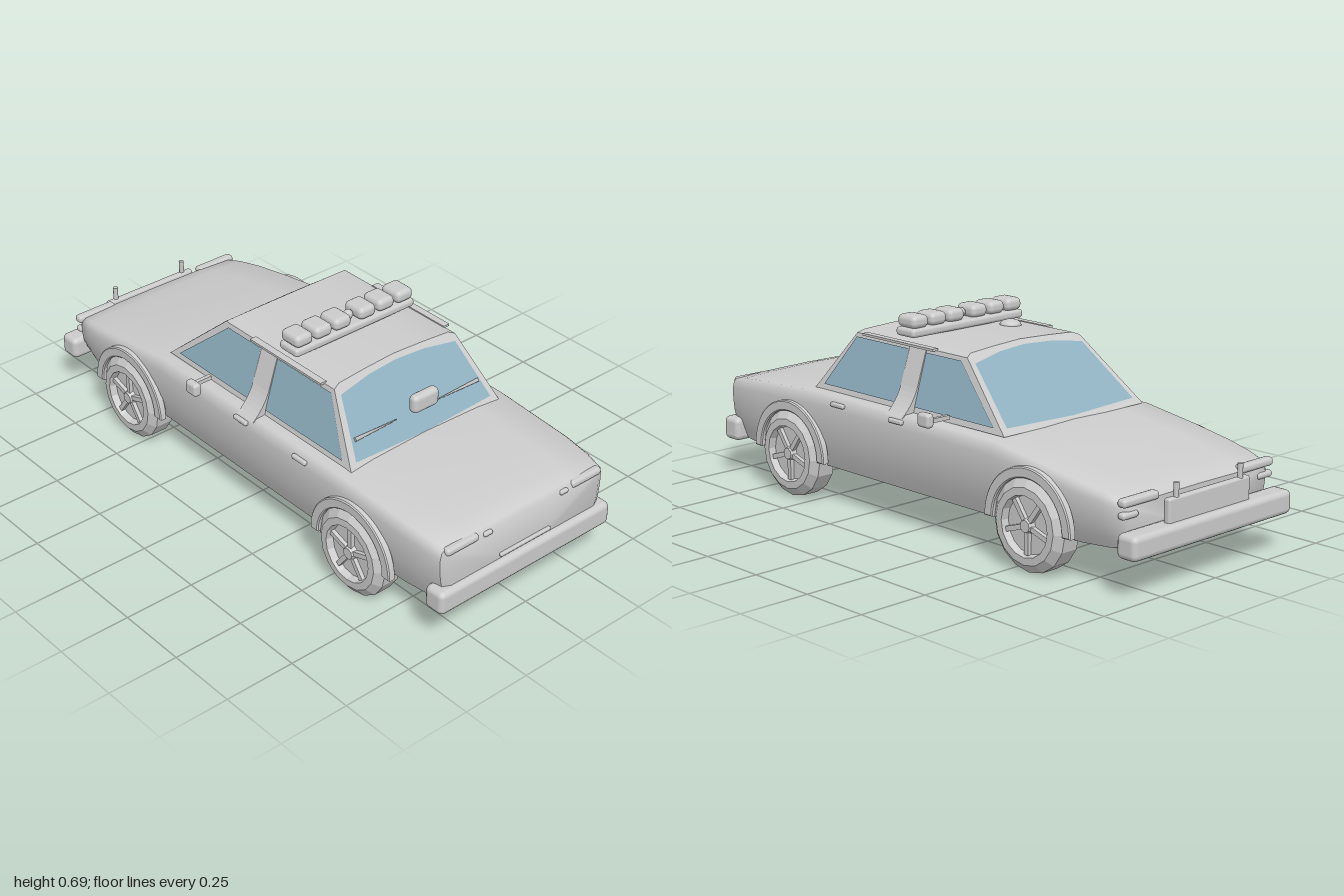
import * as THREE from 'three';
import { toCreasedNormals } from 'three/addons/utils/BufferGeometryUtils.js';
import { RoundedBoxGeometry } from 'three/addons/geometries/RoundedBoxGeometry.js';
import { ConvexGeometry } from 'three/addons/geometries/ConvexGeometry.js';

const paint = new THREE.MeshStandardMaterial({ color: 0xcccccc });
const facet = new THREE.MeshStandardMaterial({ color: 0xcccccc, flatShading: true });
const glass = new THREE.MeshStandardMaterial({ color: 0x8fb0c0, side: THREE.DoubleSide });

// Cabin planes: side, windscreen (-z) and rear window (+z) as functions of height
const sideX = y => 0.322 - (y - 0.39) * 0.302;
const screenZ = y => -0.40 + (y - 0.39) * 1.13;
const rearZ = y => 0.53 - (y - 0.39) * 0.744;

export function createModel() {
  const car = new THREE.Group();
  car.name = 'car';

  function add(name, geometry, x = 0, y = 0, z = 0, material = paint, parent = car) {
    const mesh = new THREE.Mesh(geometry, material);
    mesh.name = name;
    mesh.position.set(x, y, z);
    parent.add(mesh);
    return mesh;
  }
  const rounded = (w, h, d, r) => new RoundedBoxGeometry(w, h, d, 2, r);

  // Loft rings listed from +z to -z, each counterclockwise as seen from +z
  function loft(rings) {
    const n = rings[0].length, index = [];
    for (let i = 0; i < rings.length - 1; i++) {
      for (let j = 0; j < n; j++) {
        const a = i * n + j, b = i * n + (j + 1) % n;
        index.push(a, a + n, b, b, a + n, b + n);
      }
    }
    const last = (rings.length - 1) * n;
    for (let j = 1; j < n - 1; j++) index.push(0, j, j + 1, last, last + j + 1, last + j);
    const g = new THREE.BufferGeometry();
    g.setAttribute('position', new THREE.Float32BufferAttribute(rings.flat(2), 3));
    g.setIndex(index);
    return toCreasedNormals(g, 0.75);
  }

  // Body shell: z, half width, floor height, top height
  const stations = [
    [0.978, 0.325, 0.165, 0.342], [0.965, 0.35, 0.148, 0.358], [0.9, 0.362, 0.135, 0.372],
    [0.8, 0.37, 0.13, 0.384], [0.5, 0.376, 0.13, 0.402], [0.05, 0.377, 0.13, 0.402],
    [-0.39, 0.376, 0.13, 0.394], [-0.6, 0.374, 0.13, 0.362], [-0.75, 0.368, 0.13, 0.337],
    [-0.85, 0.355, 0.135, 0.318], [-0.91, 0.34, 0.145, 0.302], [-0.927, 0.32, 0.158, 0.288]
  ];
  const halfSection = [
    [0.9, 0], [0.945, 0.18], [0.985, 0.4], [1, 0.62], [1, 0.8], [0.985, 0.91], [0.95, 0.955], [0.6, 0.985]
  ];
  add('bodyShell', loft(stations.map(([z, w, low, top]) => {
    const right = halfSection.map(([u, v]) => [u * w, low + v * (top - low), z]);
    return [[0, low, z], ...right, [0, top, z], ...right.map(([x, y]) => [-x, y, z]).reverse()];
  })));

  // Cabin with a slightly crowned roof
  const cabinPoints = [];
  for (const [x, y] of [[0.322, 0.39], [sideX(0.597), 0.597], [0.235, 0.607], [0.12, 0.613], [0, 0.617]]) {
    for (const s of [-1, 1]) {
      cabinPoints.push(new THREE.Vector3(s * x, y, screenZ(y)), new THREE.Vector3(s * x, y, rearZ(y)));
    }
  }
  add('cabin', toCreasedNormals(new ConvexGeometry(cabinPoints), 0.4));

  // Window panes lie just outside the cabin planes
  function pane(name, outline, place) {
    const g = new THREE.ShapeGeometry(new THREE.Shape(outline.map(p => new THREE.Vector2(...p))));
    const pos = g.attributes.position;
    for (let i = 0; i < pos.count; i++) pos.setXYZ(i, ...place(pos.getX(i), pos.getY(i)));
    g.computeVertexNormals();
    add(name, g, 0, 0, 0, glass);
  }
  const screenOutline = (bottom, top) => [
    [-bottom, 0.41], [0, 0.403], [bottom, 0.41], [top, 0.58], [0.12, 0.597], [0, 0.603], [-0.12, 0.597], [-top, 0.58]
  ];
  pane('rearWindow', screenOutline(0.292, 0.246), (x, y) => [x, y, rearZ(y) + 0.004]);
  pane('windscreen', screenOutline(0.292, 0.246), (x, y) => [x, y, screenZ(y) - 0.004]);
  for (const s of [-1, 1]) {
    const onSide = (z, y) => [s * (sideX(y) + 0.004), y, z];
    pane('rearSideWindow', [[0.485, 0.41], [0.37, 0.585], [0.107, 0.585], [0.107, 0.41]], onSide);
    pane('frontSideWindow', [[0.022, 0.41], [0.022, 0.585], [-0.145, 0.585], [-0.35, 0.41]], onSide);
  }

  // Flared middle pillar foot, concave from cabin to shoulder
  const flare = new THREE.Shape();
  flare.moveTo(0.25, 0.38);
  flare.lineTo(0.372, 0.38);
  flare.quadraticCurveTo(0.325, 0.42, 0.305, 0.47);
  flare.lineTo(0.263, 0.598);
  flare.lineTo(0.25, 0.598);
  const flareGeometry = new THREE.ExtrudeGeometry(flare, { depth: 0.08, bevelEnabled: false, curveSegments: 6 });

  // Wheel parts, axle along y before turning
  const tyreProfile = [
    [0, -0.055], [0.125, -0.055], [0.153, -0.032], [0.153, 0.032], [0.125, 0.054], [0.1, 0.055], [0.094, 0.03], [0, 0.03]
  ].map(p => new THREE.Vector2(...p));
  const tyreGeometry = new THREE.LatheGeometry(tyreProfile, 16);
  const hubGeometry = new THREE.CylinderGeometry(0.02, 0.027, 0.024, 10);
  const spokeGeometry = new THREE.BoxGeometry(0.078, 0.014, 0.017);

  // Arch lip around each wheel
  const arch = new THREE.Shape();
  arch.absarc(0, 0, 0.183, 0, Math.PI, false);
  arch.absarc(0, 0, 0.155, Math.PI, 0, true);
  const archGeometry = toCreasedNormals(new THREE.ExtrudeGeometry(arch, {
    depth: 0.02, bevelSize: 0.004, bevelThickness: 0.004, bevelSegments: 1, curveSegments: 16
  }), 0.5);

  for (const s of [-1, 1]) {
    for (const z of [0.6, -0.567]) {
      const wheel = new THREE.Group();
      wheel.name = z > 0 ? 'rearWheel' : 'frontWheel';
      wheel.position.set(s * 0.345, 0.153, z);
      wheel.rotation.z = -s * Math.PI / 2;
      car.add(wheel);
      add('tyre', tyreGeometry, 0, 0, 0, facet, wheel);
      add('hub', hubGeometry, 0, 0.04, 0, facet, wheel);
      for (let i = 0; i < 5; i++) {
        const a = i * Math.PI * 0.4;
        const spoke = add('spoke', spokeGeometry, Math.cos(a) * 0.055, 0.038, -Math.sin(a) * 0.055, facet, wheel);
        spoke.rotation.y = a;
      }
      add('wheelArch', archGeometry, s * 0.368, 0.153, z).rotation.y = s * Math.PI / 2;
    }

    // Pillars, roof gutters and door handles
    const pillar = add('middlePillar', flareGeometry, 0, 0, s > 0 ? 0.025 : 0.105);
    if (s < 0) pillar.rotation.y = Math.PI;
    add('roofGutter', new THREE.BoxGeometry(0.025, 0.008, 0.35), s * 0.265, 0.6, 0.155);
    for (const z of [0.345, 0.05]) add('doorHandle', rounded(0.016, 0.016, 0.066, 0.006), s * 0.378, 0.368, z);

    // Wing mirrors
    add('mirrorArm', new THREE.BoxGeometry(0.075, 0.014, 0.014), s * 0.375, 0.415, -0.16);
    add('mirrorHead', rounded(0.031, 0.048, 0.055, 0.012), s * 0.421, 0.416, -0.143);

    // Lamps at the +z end
    add('tailLamp', rounded(0.134, 0.027, 0.03, 0.012), s * 0.268, 0.34, 0.967);
    add('smallLamp', rounded(0.036, 0.016, 0.02, 0.007), s * 0.165, 0.337, 0.975);

    // Lamps and guard posts at the -z end
    add('headLamp', rounded(0.16, 0.028, 0.035, 0.012), s * 0.27, 0.292, -0.92);
    add('indicatorLamp', rounded(0.07, 0.022, 0.03, 0.01), s * 0.315, 0.252, -0.92);
    add('guardPost', new THREE.CylinderGeometry(0.009, 0.009, 0.13, 8), s * 0.15, 0.265, -0.963);

    // Wiper blades, tapering toward the middle
    const wiper = add('wiper', new THREE.CylinderGeometry(0.002, 0.009, 0.175, 4), s * 0.178, 0.465, rearZ(0.465) + 0.008);
    wiper.rotation.z = s * Math.PI / 2;
  }

  // Bumpers, grille guard and plate strip
  add('rearBumper', rounded(0.742, 0.084, 0.08, 0.02), 0, 0.17, 0.96);
  add('frontBumper', rounded(0.742, 0.08, 0.08, 0.02), 0, 0.168, -0.96);
  add('grilleGuard', rounded(0.38, 0.085, 0.026, 0.008), 0, 0.242, -0.96);
  add('plateStrip', rounded(0.218, 0.013, 0.02, 0.005), 0, 0.227, 0.978);

  // Mirror hovering outside the rear window
  add('viewMirror', rounded(0.11, 0.066, 0.038, 0.018), 0, 0.517, 0.51);

  // Roof light bar with six lamps, a knob and a beacon
  add('lightBar', rounded(0.51, 0.03, 0.09, 0.012), 0, 0.631, 0.143);
  for (const s of [-1, 1]) {
    for (const x of [0.053, 0.134, 0.215]) add('roofLamp', rounded(0.071, 0.044, 0.088, 0.018), s * x, 0.667, 0.143);
  }
  add('lightBarKnob', new THREE.SphereGeometry(0.017, 10, 8), 0, 0.664, 0.143);
  add('beacon', new THREE.SphereGeometry(0.038, 14, 8).scale(1, 0.5, 1), -0.155, 0.612, 0.06);

  return car;
}
